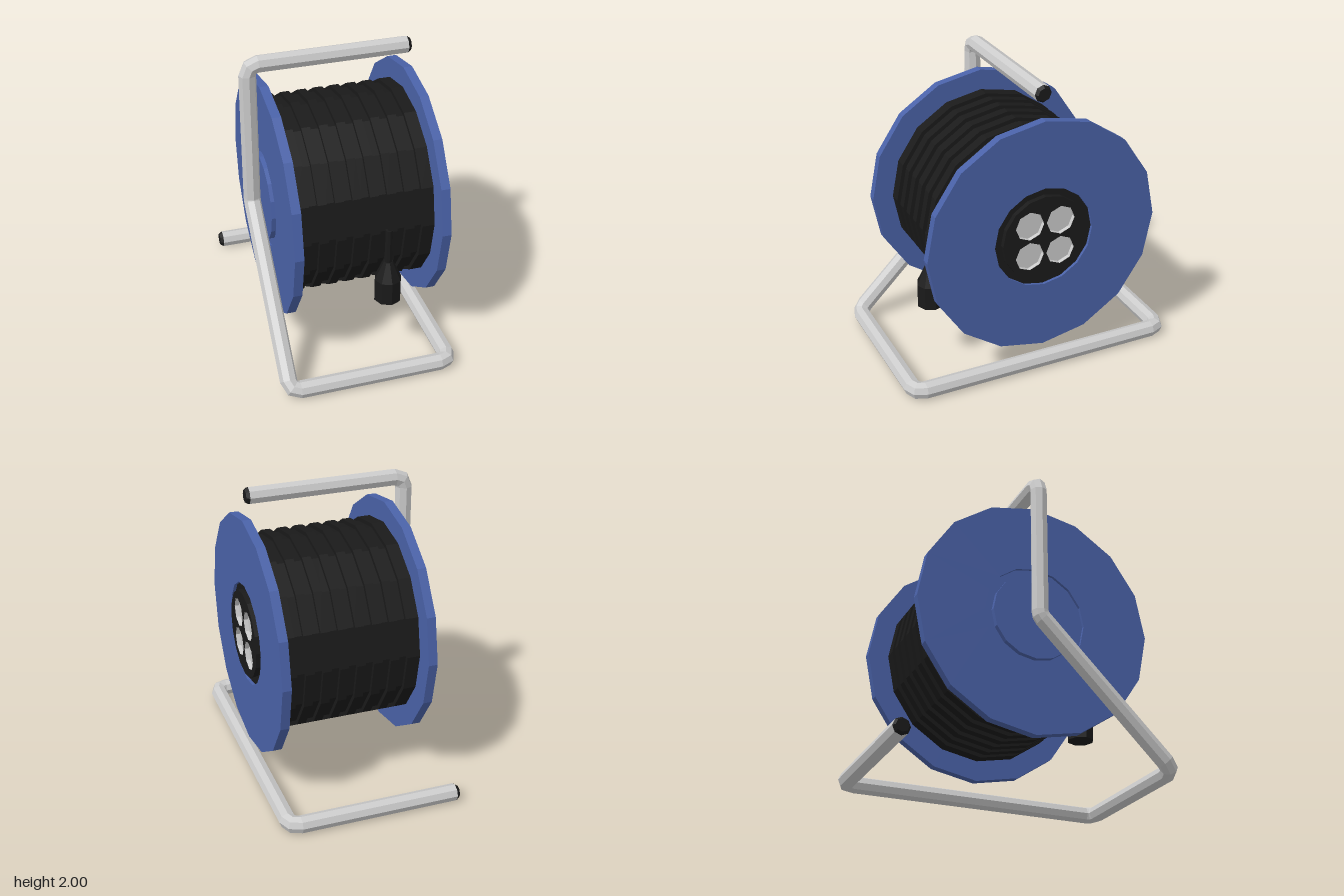
import * as THREE from 'three';

const AXIS_Y = 0.98; // height of the reel's axle
const TUBE = 0.057; // radius of the frame tube

const paint = (color) => new THREE.MeshStandardMaterial({ color, flatShading: true });
const grey = paint(0xcccccc);
const blue = paint(0x4a62a8);
const black = paint(0x1a1a1a);
const cupGrey = paint(0xcccccc);
cupGrey.side = THREE.DoubleSide;

function add(parent, name, geometry, material) {
  const mesh = new THREE.Mesh(geometry, material);
  mesh.name = name;
  parent.add(mesh);
  return mesh;
}

// Lathe from [radius, x] pairs with ascending x, turned around the x axis
function turned(profile, sides = 16) {
  const points = profile.map(([r, x]) => new THREE.Vector2(r, x));
  return new THREE.LatheGeometry(points, sides).rotateZ(-Math.PI / 2);
}

function polygon(sides, radius, cx = 0, cy = 0) {
  return Array.from({ length: sides }, (_, i) => {
    const a = (i / sides) * Math.PI * 2;
    return new THREE.Vector2(cx + radius * Math.cos(a), cy + radius * Math.sin(a));
  });
}

// Octagonal tube along a polyline, each corner bent in two steps
function bentTube(corners, radius, bend) {
  const rings = [];
  const dirs = corners.slice(1).map((p, i) => p.clone().sub(corners[i]).normalize());
  corners.forEach((p, i) => {
    const before = dirs[i - 1], after = dirs[i];
    if (!before || !after) {
      rings.push({ p, n: before || after });
      return;
    }
    const half = before.angleTo(after) / 2;
    const t = bend * Math.tan(half);
    const inward = after.clone().sub(before).normalize();
    rings.push({ p: p.clone().addScaledVector(before, -t), n: before });
    rings.push({
      p: p.clone().addScaledVector(inward, bend / Math.cos(half) - bend),
      n: before.clone().add(after).normalize(),
    });
    rings.push({ p: p.clone().addScaledVector(after, t), n: after });
  });

  const sides = 8, position = [], index = [];
  const u = new THREE.Vector3(0, 1, 0);
  const v = dirs[0].clone().cross(u);
  const q = new THREE.Quaternion();
  rings.forEach(({ p, n }, i) => {
    if (i) {
      q.setFromUnitVectors(rings[i - 1].n, n);
      u.applyQuaternion(q);
      v.applyQuaternion(q);
    }
    polygon(sides, radius).forEach((c, j) => {
      position.push(...p.clone().addScaledVector(u, c.x).addScaledVector(v, c.y).toArray());
      if (i === 0) return;
      const k = (j + 1) % sides, lo = (i - 1) * sides, hi = i * sides;
      index.push(lo + j, lo + k, hi + j, lo + k, hi + k, hi + j);
    });
  });
  const geometry = new THREE.BufferGeometry();
  geometry.setAttribute('position', new THREE.Float32BufferAttribute(position, 3));
  geometry.setIndex(index);
  geometry.computeVertexNormals();
  return geometry;
}

function createFrame() {
  const frame = new THREE.Group();
  frame.name = 'frame';
  const top = 2 - TUBE, x = 0.543, z = 0.905;
  // One tube: handle, upright, slanted leg and U-shaped foot
  const path = [
    [0.505, top, 0], [-x, top, 0], [-x, AXIS_Y - 0.02, 0], [-x, TUBE, z],
    [x, TUBE, z], [x, TUBE, -z], [-0.585, TUBE, -z],
  ].map((p) => new THREE.Vector3(...p));
  add(frame, 'frameTube', bentTube(path, TUBE, 0.065), grey);

  // Black plugs closing both tube ends
  for (const [name, side, end] of [['handleCap', 1, path[0]], ['footCap', -1, path[6]]]) {
    const cap = new THREE.CylinderGeometry(0.042, TUBE, 0.022, 8).rotateZ(-side * Math.PI / 2);
    add(frame, name, cap, black).position.set(end.x + side * 0.011, end.y, end.z);
  }
  return frame;
}

function createReel() {
  const reel = new THREE.Group();
  reel.name = 'reel';
  reel.position.y = AXIS_Y;

  // Side discs, with a raised hub in a shallow recess
  add(reel, 'rightDisc', turned([
    [0, -0.485], [0.295, -0.485], [0.295, -0.45], [0.345, -0.45],
    [0.345, -0.47], [0.8, -0.47], [0.8, -0.41], [0.55, -0.41],
  ]), blue);
  add(reel, 'leftDisc', turned([
    [0.55, 0.49], [0.8, 0.49], [0.8, 0.55], [0.345, 0.55], [0.345, 0.53],
  ]), blue);

  // Wound cable with grooves between the turns
  const coil = [[0.66, -0.42]];
  for (let i = 0; i < 7; i++) {
    const a = -0.325 + i * 0.113, b = a + 0.055;
    coil.push([0.66, a], [0.633, a], [0.633, b], [0.66, b]);
  }
  coil.push([0.66, 0.5]);
  add(reel, 'cableCoil', turned(coil), black);

  // Socket panel with four round openings
  add(reel, 'panelRim', turned([[0.345, 0.53], [0.29, 0.5301]]), black);
  const shape = new THREE.Shape(polygon(16, 0.295));
  const centres = [[-1, -1], [-1, 1], [1, -1], [1, 1]].map((c) => c.map((s) => s * 0.108));
  for (const [a, b] of centres) shape.holes.push(new THREE.Path(polygon(8, 0.1, a, b)));
  const panel = new THREE.ExtrudeGeometry(shape, { depth: 0.045, bevelEnabled: false });
  add(reel, 'socketPanel', panel.rotateY(Math.PI / 2), black).position.x = 0.52;
  for (const [y, z] of centres) {
    const cup = turned([[0, 0.535], [0.099, 0.535], [0.099, 0.563]], 8);
    add(reel, 'socket', cup, cupGrey).position.set(0, y, z);
  }
  return reel;
}

function createPlug() {
  const plug = new THREE.Group();
  plug.name = 'plug';
  plug.position.set(0.19, 0, 0.645);
  const profile = [[0, 0.46], [0.09, 0.46], [0.09, 0.62], [0.03, 0.75], [0, 0.75]]
    .map(([r, y]) => new THREE.Vector2(r, y));
  add(plug, 'plugBody', new THREE.LatheGeometry(profile, 8), black);
  // Loose end of the cable, running up to the coil
  const lead = new THREE.CylinderGeometry(0.025, 0.025, 0.26, 8);
  add(plug, 'cableEnd', lead, black).position.y = 0.86;
  return plug;
}

export function createModel() {
  const model = new THREE.Group();
  model.name = 'cableReel';
  model.add(createFrame(), createReel(), createPlug());
  return model;
}
